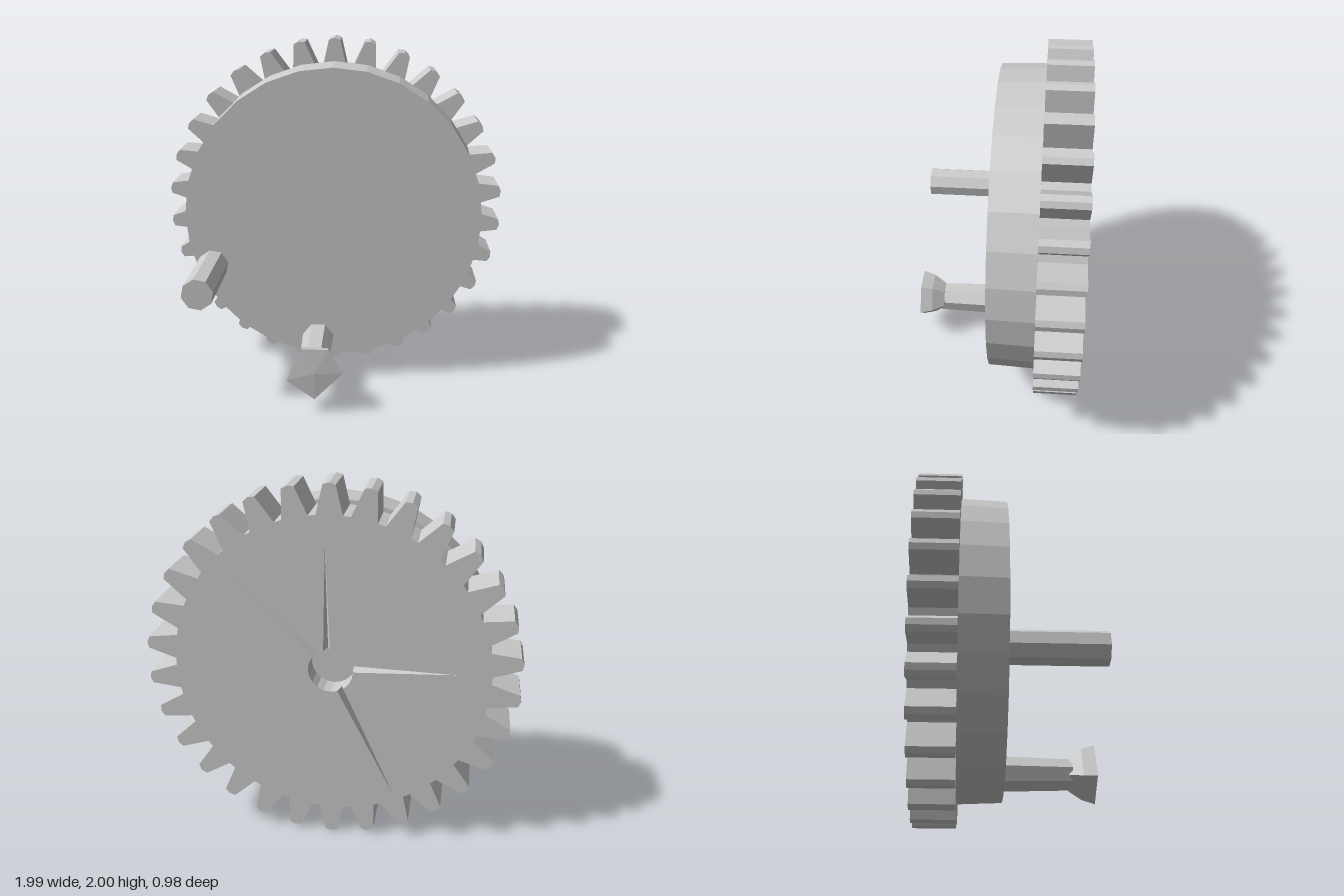
import * as THREE from 'three';

const material = new THREE.MeshStandardMaterial({ color: 0xcccccc, flatShading: true });
const doubleSided = new THREE.MeshStandardMaterial({ color: 0xcccccc, flatShading: true, side: THREE.DoubleSide });

const CENTER_Y = 1;
const BACK = -0.49, GEAR_FRONT = -0.25;
const HOLE_R = 0.12, FLOOR_Z = -0.37;
const HOLE_STEPS = 20;
// Radial grooves on the back: [step around the hole, tip angle in degrees, tip radius]
const GROOVES = [[2, 45, 0.82], [4, 88, 0.68], [9, 178, 0.66], [13, 244.5, 0.82]];

const polar = (r, a) => new THREE.Vector2(r * Math.cos(a), r * Math.sin(a));
const rad = THREE.MathUtils.degToRad;
const holePoint = (i) => polar(HOLE_R, (i / HOLE_STEPS) * Math.PI * 2);

function addMesh(parent, name, geometry, mat = material) {
  const mesh = new THREE.Mesh(geometry, mat);
  mesh.name = name;
  parent.add(mesh);
  return mesh;
}

// Geometry from a flat list of Vector3 corners, three per triangle
function fromTriangles(points) {
  const geometry = new THREE.BufferGeometry().setFromPoints(points);
  geometry.computeVertexNormals();
  return geometry;
}

// Cylinder lying along z from z0 to z1
function zCylinder(r0, r1, z0, z1, sides, turn = 0) {
  return new THREE.CylinderGeometry(r1, r0, z1 - z0, sides, 1, false, turn)
    .rotateX(Math.PI / 2).translate(0, 0, (z0 + z1) / 2);
}

// Toothed outline with a centre hole that spikes out along the grooves
function gearGeometry() {
  const teeth = 30, outline = [];
  for (let i = 0; i < teeth; i++) {
    const a = rad(6 + i * 12);
    for (const [r, half] of [[0.84, -0.068], [0.99, -0.033], [1, 0], [0.99, 0.033], [0.84, 0.068]]) {
      outline.push(r === 1 ? polar(r, a) : polar(r, a + half / r));
    }
  }
  const hole = [];
  for (let i = 0; i < HOLE_STEPS; i++) {
    hole.push(holePoint(i));
    const groove = GROOVES.find((g) => g[0] === i);
    if (groove) hole.push(polar(groove[2], rad(groove[1])));
  }
  const shape = new THREE.Shape(outline);
  shape.holes.push(new THREE.Path(hole.reverse()));
  return new THREE.ExtrudeGeometry(shape, { depth: GEAR_FRONT - BACK, bevelEnabled: false }).translate(0, 0, BACK);
}

// Shallow valley from the hole rim out to a tip, plus the bit of hole wall under it
function grooveGeometry([step, degrees, radius]) {
  const at = (p, z) => new THREE.Vector3(p.x, p.y, z);
  const p = holePoint(step), q = holePoint(step + 1);
  const a = at(p, BACK), b = at(q, BACK), a2 = at(p, FLOOR_Z), b2 = at(q, FLOOR_Z);
  const middle = at(p.clone().add(q).multiplyScalar(0.5), BACK + 0.045);
  const tip = at(polar(radius, rad(degrees)), BACK);
  return fromTriangles([
    tip, a, middle, tip, middle, b,
    a, a2, middle, middle, a2, b2, middle, b2, b,
  ]);
}

// Flared five-sided head made from scaled copies of one polygon
function headGeometry() {
  const corners = [0, 60, 118, 198, 270].map((d) => polar(0.16, rad(d)));
  const rings = [[0.34, 0.56], [0.41, 0.86], [0.48, 1]].map(([z, s]) =>
    corners.map((c) => new THREE.Vector3(c.x * s, c.y * s, z)));
  const triangles = [], n = corners.length;
  for (let i = 0; i < n; i++) {
    const j = (i + 1) % n;
    for (let k = 0; k < rings.length - 1; k++) {
      const [lo, hi] = [rings[k], rings[k + 1]];
      triangles.push(lo[i], lo[j], hi[j], lo[i], hi[j], hi[i]);
    }
    triangles.push(new THREE.Vector3(0, 0, 0.49), rings[2][i], rings[2][j]);
    triangles.push(new THREE.Vector3(0, 0, 0.34), rings[0][j], rings[0][i]);
  }
  return fromTriangles(triangles);
}

export function createModel() {
  const model = new THREE.Group();
  model.name = 'gearWheel';

  // Wheel: toothed ring at the back, plain disc in front
  const wheel = new THREE.Group();
  wheel.name = 'wheel';
  wheel.position.y = CENTER_Y;
  model.add(wheel);
  addMesh(wheel, 'toothedGear', gearGeometry());
  addMesh(wheel, 'frontDisc', zCylinder(0.868, 0.858, GEAR_FRONT, 0, 28));

  // Axle socket in the back face
  const floor = new THREE.CircleGeometry(HOLE_R, HOLE_STEPS).rotateX(Math.PI).translate(0, 0, FLOOR_Z);
  addMesh(wheel, 'socketFloor', floor);
  GROOVES.forEach((g) => addMesh(wheel, 'backGroove', grooveGeometry(g), doubleSided));

  // Plain peg
  const peg = addMesh(model, 'peg', zCylinder(0.09, 0.09, -0.02, 0.49, 8, 0.2));
  peg.position.set(-0.705, 0.7, 0);

  // Crank pin with a flared head
  const pin = new THREE.Group();
  pin.name = 'crankPin';
  pin.position.set(-0.078, 0.25, 0);
  model.add(pin);
  addMesh(pin, 'pinShaft', zCylinder(0.095, 0.084, -0.02, 0.36, 7)).position.set(-0.008, -0.005, 0);
  addMesh(pin, 'pinHead', headGeometry());

  return model;
}
